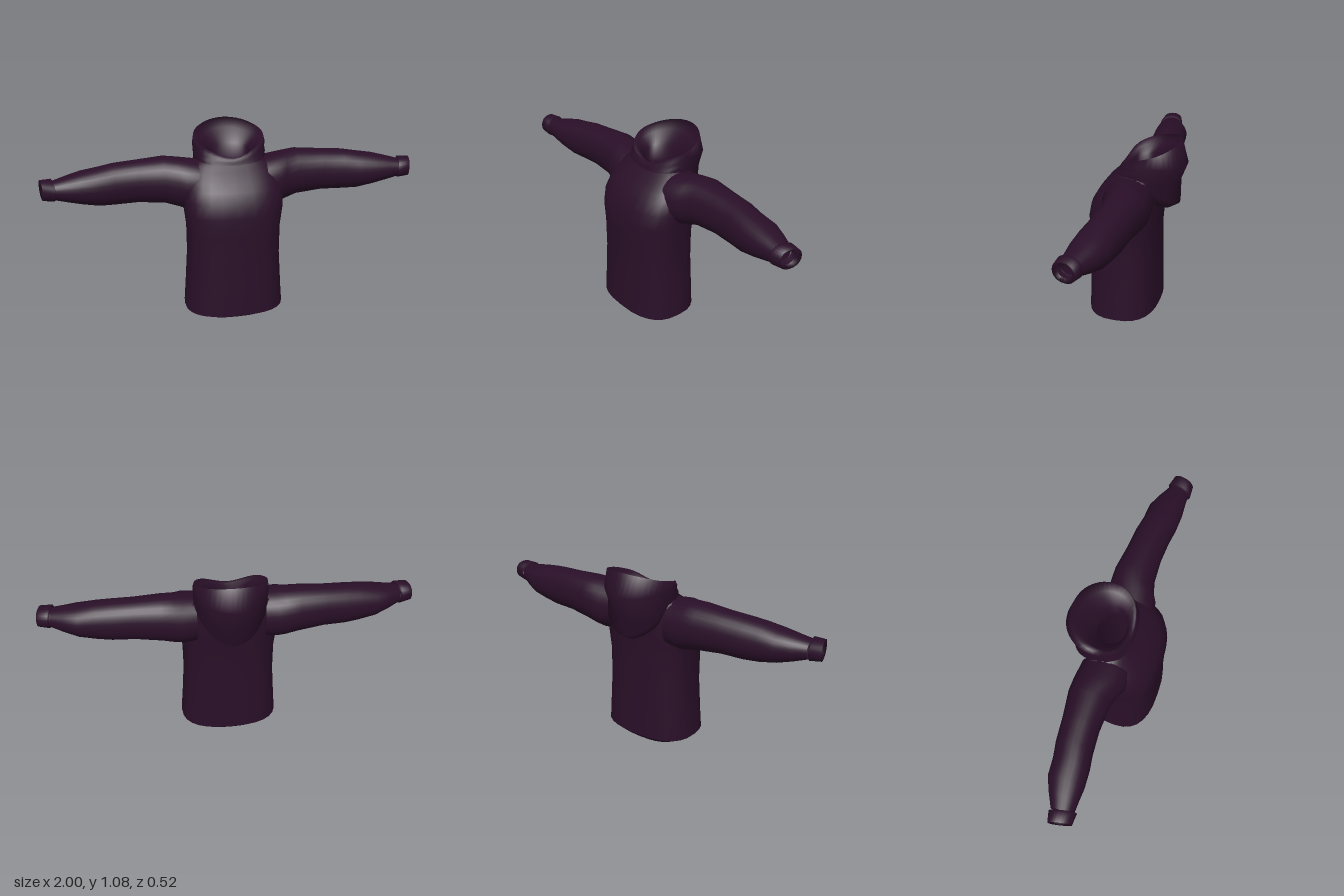
import * as THREE from 'three';

const SIDES = 28;
const mix = THREE.MathUtils.lerp;

// Oval cross-section point with slightly squared corners, in [-1, 1]
function oval(i, power) {
  const a = (i / SIDES) * Math.PI * 2;
  const bend = (v) => Math.sign(v) * Math.pow(Math.abs(v), 2 / power);
  return [bend(Math.sin(a)), bend(Math.cos(a))];
}

// Skin joining closed rings of equal length; skip(centre) leaves holes
function loft(rings, skip = () => false) {
  const n = rings[0].length;
  const pts = rings.flat();
  const index = [];
  for (let r = 0; r < rings.length - 1; r++) {
    for (let i = 0; i < n; i++) {
      const j = (i + 1) % n;
      const a = r * n + i, b = r * n + j, c = a + n, d = b + n;
      const centre = pts[a].clone().add(pts[b]).add(pts[c]).add(pts[d]).multiplyScalar(0.25);
      if (!skip(centre)) index.push(a, b, d, a, d, c);
    }
  }
  const geo = new THREE.BufferGeometry().setFromPoints(pts);
  geo.setIndex(index);
  geo.computeVertexNormals();
  return geo;
}

// Horizontal ring: height, front z, back z, half width
function torsoRing([y, front, back, half]) {
  return Array.from({ length: SIDES }, (_, i) => {
    const [u, v] = oval(i, 2.6);
    return new THREE.Vector3(u * half, y, (front + back) / 2 + (v * (front - back)) / 2);
  });
}

// Upright ring across the arm: x, top, bottom, front z, back z; lean slants it
function armRing([x, top, bottom, front, back], side, lean) {
  return Array.from({ length: SIDES }, (_, i) => {
    const [u, v] = oval(i, 2.2);
    const z = (front + back) / 2 + (v * (front - back)) / 2;
    return new THREE.Vector3(side * (x - lean * z), (top + bottom) / 2 + (u * (top - bottom)) / 2, z);
  });
}

// Symmetric hood ring through a front point, a side point and a back point
function hoodRing([frontY, frontZ, sideX, sideY, sideZ, backY, backZ]) {
  const right = [
    new THREE.Vector3(0, frontY, frontZ),
    new THREE.Vector3(sideX * 0.74, mix(frontY, sideY, 0.6), mix(sideZ, frontZ, 0.7)),
    new THREE.Vector3(sideX, sideY, sideZ),
    new THREE.Vector3(sideX * 0.92, mix(sideY, backY, 0.4), mix(sideZ, backZ, 0.48)),
    new THREE.Vector3(sideX * 0.52, mix(sideY, backY, 0.83), mix(sideZ, backZ, 0.87)),
    new THREE.Vector3(0, backY, backZ),
  ];
  const left = right.slice(1, -1).reverse().map((p) => new THREE.Vector3(-p.x, p.y, p.z));
  const curve = new THREE.CatmullRomCurve3([...right, ...left], true);
  return Array.from({ length: 40 }, (_, i) => curve.getPoint(i / 40));
}

export function createModel() {
  const group = new THREE.Group();
  const fabric = new THREE.MeshStandardMaterial({ color: 0x290f28, side: THREE.DoubleSide });
  fabric.name = 'dark plum fabric';
  const add = (name, geo) => {
    const mesh = new THREE.Mesh(geo, fabric);
    mesh.name = name;
    group.add(mesh);
  };

  // Torso, open inside the armholes
  const torso = [
    [0.095, 0.26, -0.125, 0.272], [0.2, 0.256, -0.124, 0.264], [0.4, 0.25, -0.12, 0.251],
    [0.56, 0.25, -0.12, 0.252], [0.66, 0.252, -0.126, 0.264], [0.735, 0.235, -0.13, 0.268],
    [0.79, 0.203, -0.13, 0.26], [0.83, 0.172, -0.13, 0.25], [0.87, 0.13, -0.128, 0.235],
    [0.9, 0.1, -0.122, 0.215], [0.92, 0.08, -0.11, 0.18],
  ].map(torsoRing);
  add('torso', loft(torso, (c) => Math.abs(c.x) > 0.18 && Math.hypot(c.y - 0.81, c.z - 0.04) < 0.06));

  // Sagging lining that closes the bottom
  const lining = [[1, 0.095], [0.75, 0.057], [0.45, 0.028], [0.2, 0.011], [0.001, 0]]
    .map(([s, y]) => torsoRing([y, 0.03 + s * 0.23, 0.03 - s * 0.155, s * 0.272]));
  add('bottomLining', loft(lining));

  // Sleeves and slanted cuffs
  const sleeve = [
    [0.18, 0.915, 0.66, 0.13, -0.125], [0.25, 0.925, 0.655, 0.128, -0.132],
    [0.29, 0.928, 0.665, 0.105, -0.135], [0.36, 0.935, 0.685, 0.087, -0.135],
    [0.5, 0.925, 0.7, 0.08, -0.115], [0.62, 0.918, 0.7, 0.088, -0.105],
    [0.7, 0.907, 0.705, 0.1, -0.09], [0.79, 0.893, 0.725, 0.106, -0.083],
    [0.86, 0.878, 0.745, 0.102, -0.052], [0.93, 0.862, 0.768, 0.1, -0.015],
  ];
  const cuff = [
    [0.935, 0.855, 0.775, 0.1, -0.01], [0.94, 0.874, 0.762, 0.113, -0.02],
    [0.999, 0.873, 0.77, 0.11, -0.005], [0.98, 0.85, 0.783, 0.09, 0.018],
  ];
  for (const [label, side] of [['left', 1], ['right', -1]]) {
    add(label + 'Sleeve', loft(sleeve.map((s) => armRing(s, side, 0))));
    add(label + 'Cuff', loft(cuff.map((s) => armRing(s, side, 0.22))));
  }

  // Lowered hood: outer pouch, rim, then the inside down to the neck
  const hood = [
    [0.86, 0.12, 0.185, 0.9, 0, 0.71, -0.13],
    [0.895, 0.1, 0.185, 0.925, 0, 0.7, -0.175],
    [0.915, 0.095, 0.19, 0.94, -0.01, 0.73, -0.225],
    [0.925, 0.09, 0.19, 0.96, -0.03, 0.86, -0.226],
    [0.93, 0.085, 0.192, 0.99, -0.03, 0.95, -0.26],
    [0.938, 0.078, 0.186, 1.018, -0.04, 1.075, -0.226],
    [0.934, 0.066, 0.155, 0.985, -0.03, 1.03, -0.19],
    [0.925, 0.05, 0.1, 0.948, -0.02, 0.965, -0.1],
    [0.86, 0.05, 0.1, 0.86, -0.02, 0.86, -0.095],
  ].map(hoodRing);
  add('hood', loft(hood));

  return group;
}
